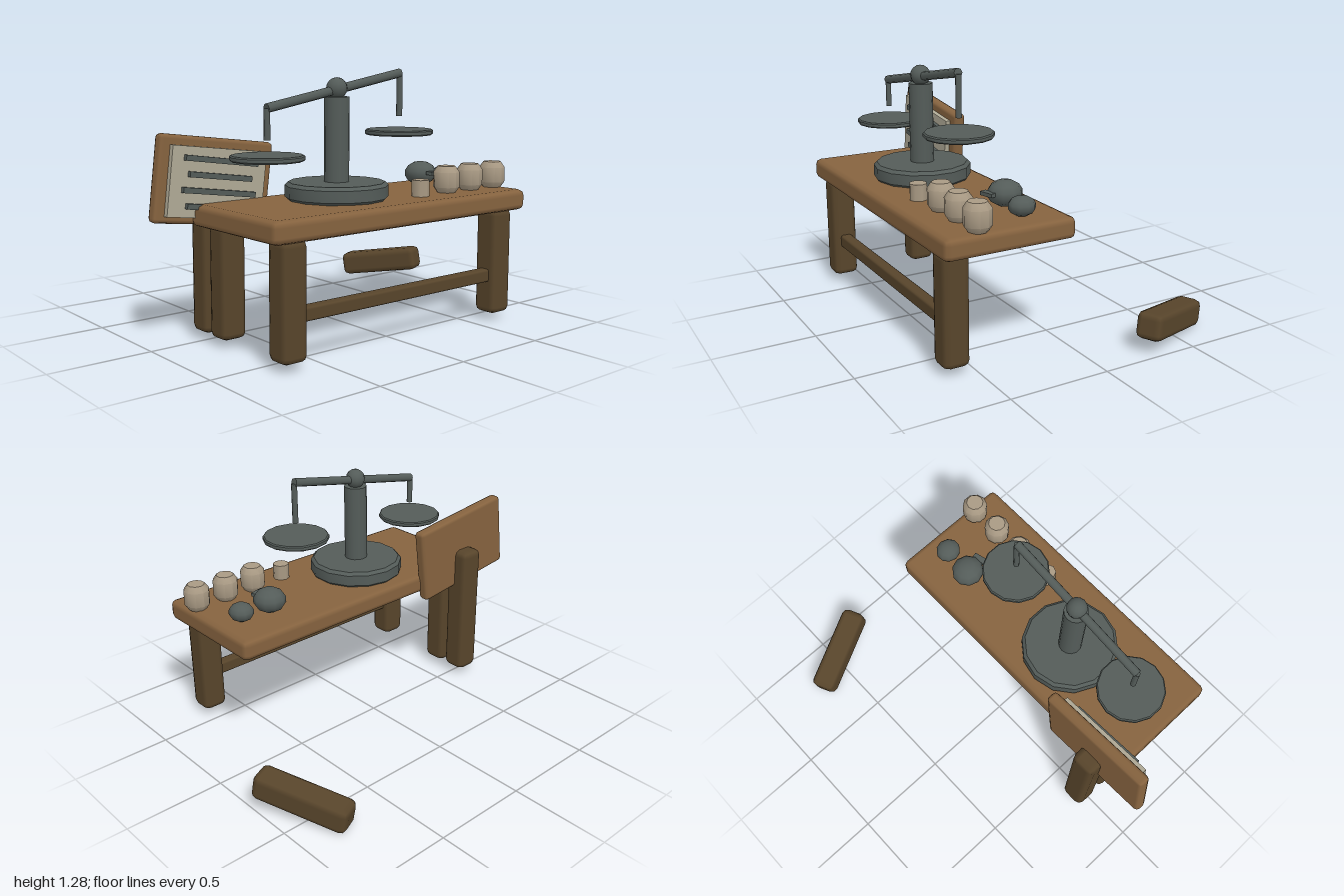
import * as THREE from 'three';
import { toCreasedNormals } from 'three/addons/utils/BufferGeometryUtils.js';
import { RoundedBoxGeometry } from 'three/addons/geometries/RoundedBoxGeometry.js';

const material = (name, color) => {
  const m = new THREE.MeshStandardMaterial({ color });
  m.name = name;
  return m;
};

export function createModel() {
  const model = new THREE.Group();
  model.name = 'marketTable';

  const wood = material('wood', 0x86633f);
  const darkWood = material('darkWood', 0x58452b);
  const iron = material('iron', 0x545c59);
  const clay = material('paleClay', 0xa99a84);
  const paper = material('paper', 0xb0aa96);

  const add = (name, geometry, mat, x, y, z, parent = model) => {
    const mesh = new THREE.Mesh(geometry, mat);
    mesh.name = name;
    mesh.position.set(x, y, z);
    parent.add(mesh);
    return mesh;
  };
  // Box with single chamfered edges
  const chamferBox = (w, h, d, c) => new RoundedBoxGeometry(w, h, d, 1, c);
  // Turned solid with closed ends; profile is [radius, height] from the bottom up
  const turned = (profile, sides) => toCreasedNormals(new THREE.LatheGeometry(
    profile.map(([r, y]) => new THREE.Vector2(r, y)), sides), 0.7);
  const disc = (r, h, c, sides) => turned(
    [[0, 0], [r - c, 0], [r, c], [r, h - c], [r - c, h], [0, h]], sides);

  // Table
  add('tableTop', chamferBox(1.59, 0.105, 0.66, 0.03), wood, -0.005, 0.62, 0.36);
  for (const [x, z] of [[-0.667, 0.598], [0.655, 0.598], [-0.667, 0.135]]) {
    add('tableLeg', chamferBox(0.132, 0.54, 0.132, 0.032), darkWood, x, 0.308, z);
  }
  add('stretcher', chamferBox(1.22, 0.066, 0.06, 0.012), darkWood, -0.005, 0.238, 0.598);

  // Broken-off leg lying behind the table
  const fallen = add('fallenLeg', chamferBox(0.132, 0.132, 0.48, 0.032), darkWood, 0.86, 0.102, -0.467);
  fallen.rotation.set(-0.165, 0.435, 0, 'YXZ');

  // Notice board on its post
  add('boardPost', chamferBox(0.132, 0.725, 0.132, 0.032), darkWood, -0.667, 0.402, -0.019);
  const board = new THREE.Group();
  board.name = 'noticeBoard';
  board.position.set(-0.668, 0.765, 0.02);
  board.rotation.z = -0.122;
  model.add(board);
  add('boardPanel', chamferBox(0.62, 0.405, 0.064, 0.02), wood, 0, 0, 0, board);
  add('noticeSheet', new THREE.BoxGeometry(0.515, 0.325, 0.026), paper, -0.002, -0.006, 0.045, board);
  for (let i = 0; i < 4; i++) {
    const line = add('writingLine', new THREE.BoxGeometry(i % 2 ? 0.34 : 0.395, 0.026, 0.022),
      iron, 0, 0.1 - i * 0.073, 0.068, board);
    line.rotation.z = -0.02;
  }

  // Balance scale
  const scale = new THREE.Group();
  scale.name = 'balanceScale';
  scale.position.set(-0.172, 0, 0.33);
  model.add(scale);
  add('scaleBase', disc(0.247, 0.087, 0.016, 14), iron, 0, 0.668, 0, scale);
  add('pillar', new THREE.CylinderGeometry(0.06, 0.06, 0.42, 14), iron, 0, 0.945, 0, scale);
  add('pivotBall', new THREE.SphereGeometry(0.051, 12, 8), iron, 0, 1.194, 0, scale);
  const beam = add('beam', new THREE.CylinderGeometry(0.022, 0.022, 0.825, 8), iron, 0, 1.187, 0, scale);
  beam.rotation.z = Math.PI / 2 + 0.182;
  for (const [x, top, bottom] of [[-0.404, 1.112, 0.97], [0.406, 1.255, 1.05]]) {
    add('hangerRod', new THREE.CylinderGeometry(0.015, 0.015, top - bottom, 8), iron,
      x, (top + bottom) / 2, 0, scale);
    add('pan', disc(0.17, 0.027, 0.006, 14), iron, x, bottom - 0.092, 0, scale);
  }

  // Pale weights and a small cup
  const weight = turned([[0, 0], [0.044, 0], [0.065, 0.03], [0.065, 0.105], [0.044, 0.135], [0, 0.135]], 10);
  for (const x of [0.393, 0.563, 0.735]) add('weight', weight, clay, x, 0.67, 0.508);
  add('smallCup', new THREE.CylinderGeometry(0.043, 0.043, 0.085, 8), clay, 0.193, 0.71, 0.527);

  // Dark stones
  const stone = new THREE.SphereGeometry(1, 10, 7);
  const big = add('largeStone', stone, iron, 0.49, 0.737, 0.23);
  big.scale.set(0.083, 0.063, 0.085);
  const small = add('smallStone', stone, iron, 0.655, 0.72, 0.24);
  small.scale.set(0.062, 0.047, 0.066);
  const chip = add('stoneChip', new THREE.BoxGeometry(0.075, 0.018, 0.035), iron, 0.492, 0.744, 0.318);
  chip.rotation.y = 0.25;

  return model;
}
